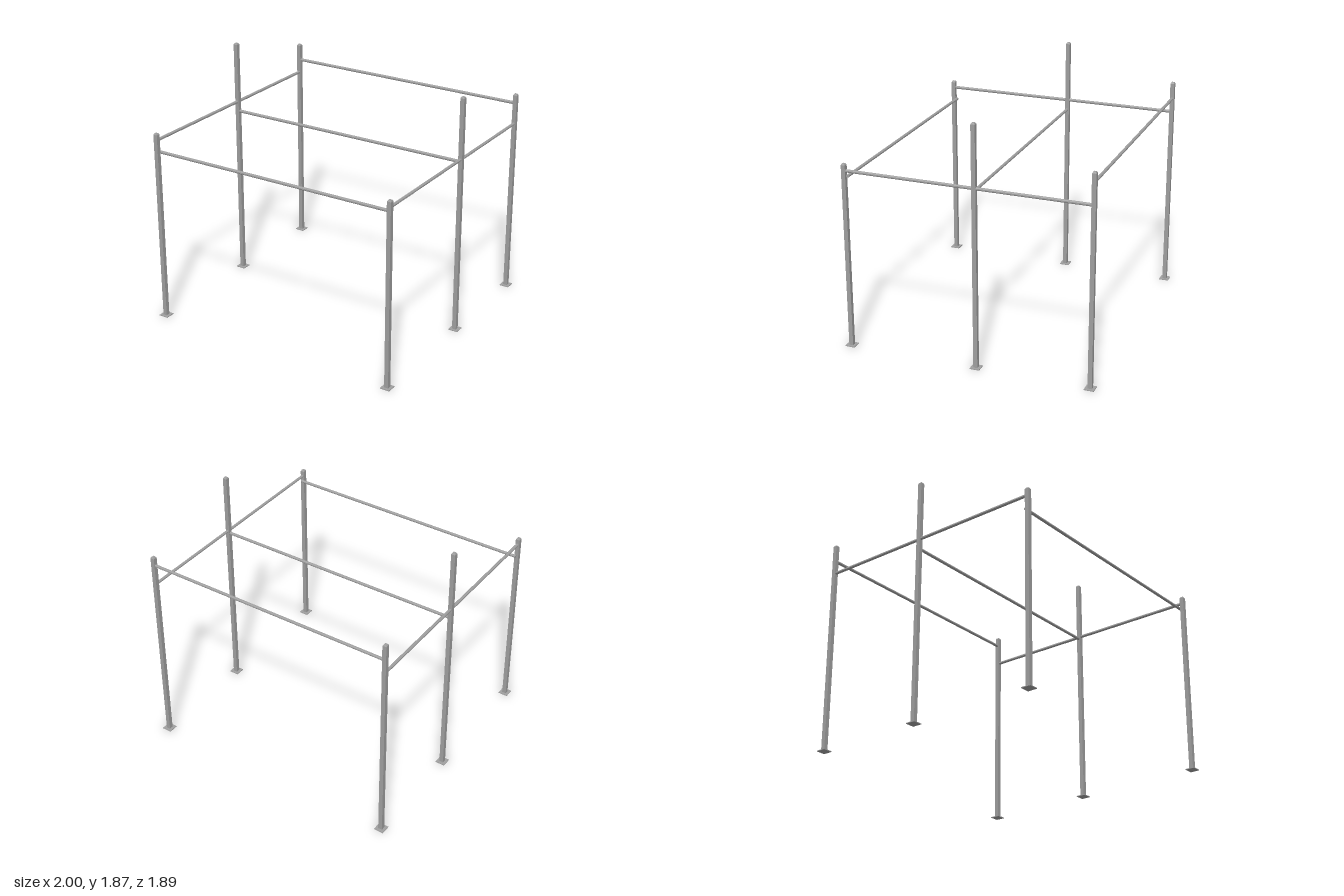
import * as THREE from 'three';

export function createModel() {
  const model = new THREE.Group();
  model.name = 'postFrame';
  const steel = new THREE.MeshStandardMaterial({ color: 0xa0a0a0, flatShading: true });
  steel.name = 'grey steel';

  const X = 0.963, POST = 0.031, CAP = 0.01, PLATE = 0.006, RAIL_R = 0.0115;

  const add = (parent, name, geometry, x, y, z) => {
    const mesh = new THREE.Mesh(geometry, steel);
    mesh.name = name;
    mesh.position.set(x, y, z);
    parent.add(mesh);
    return mesh;
  };

  // Square post with a foot plate and a chamfered cap
  const addPost = (name, x, z, height) => {
    const post = new THREE.Group();
    post.name = name;
    post.position.set(x, 0, z);
    model.add(post);
    add(post, 'footPlate', new THREE.BoxGeometry(0.072, PLATE, 0.072), 0, PLATE / 2, 0);
    const shaft = height - CAP - PLATE;
    add(post, 'shaft', new THREE.BoxGeometry(POST, shaft, POST), 0, PLATE + shaft / 2, 0);
    const r = POST / Math.SQRT2;
    const cap = new THREE.CylinderGeometry(r * 0.6, r, CAP, 4).rotateY(Math.PI / 4);
    add(post, 'cap', cap, 0, height - CAP / 2, 0);
  };

  // Slim eight-sided rail, lying along x or z
  const addRail = (name, axis, length, x, y, z) => {
    const rail = new THREE.CylinderGeometry(RAIL_R, RAIL_R, length, 8).rotateY(Math.PI / 8);
    if (axis === 'x') rail.rotateZ(Math.PI / 2);
    else rail.rotateX(Math.PI / 2);
    add(model, name, rail, x, y, z);
  };

  // Three rows of posts; the right side stands slightly taller
  const rows = [
    { name: 'front', z: 0.907, height: 1.4, railY: 1.308, railZ: 0.882 },
    { name: 'middle', z: -0.065, height: 1.81, railY: 1.328, railZ: -0.065 },
    { name: 'back', z: -0.907, height: 1.58, railY: 1.508, railZ: -0.907 },
  ];
  for (const row of rows) {
    addPost(row.name + 'LeftPost', X, row.z, row.height);
    addPost(row.name + 'RightPost', -X, row.z, row.height + 0.058);
    addRail(row.name + 'CrossRail', 'x', 2 * X, 0, row.railY, row.railZ);
  }

  // Side rails through each row of posts
  addRail('leftSideRail', 'z', 1.814, X, 1.347, 0);
  addRail('rightSideRail', 'z', 1.814, -X, 1.404, 0);

  return model;
}
